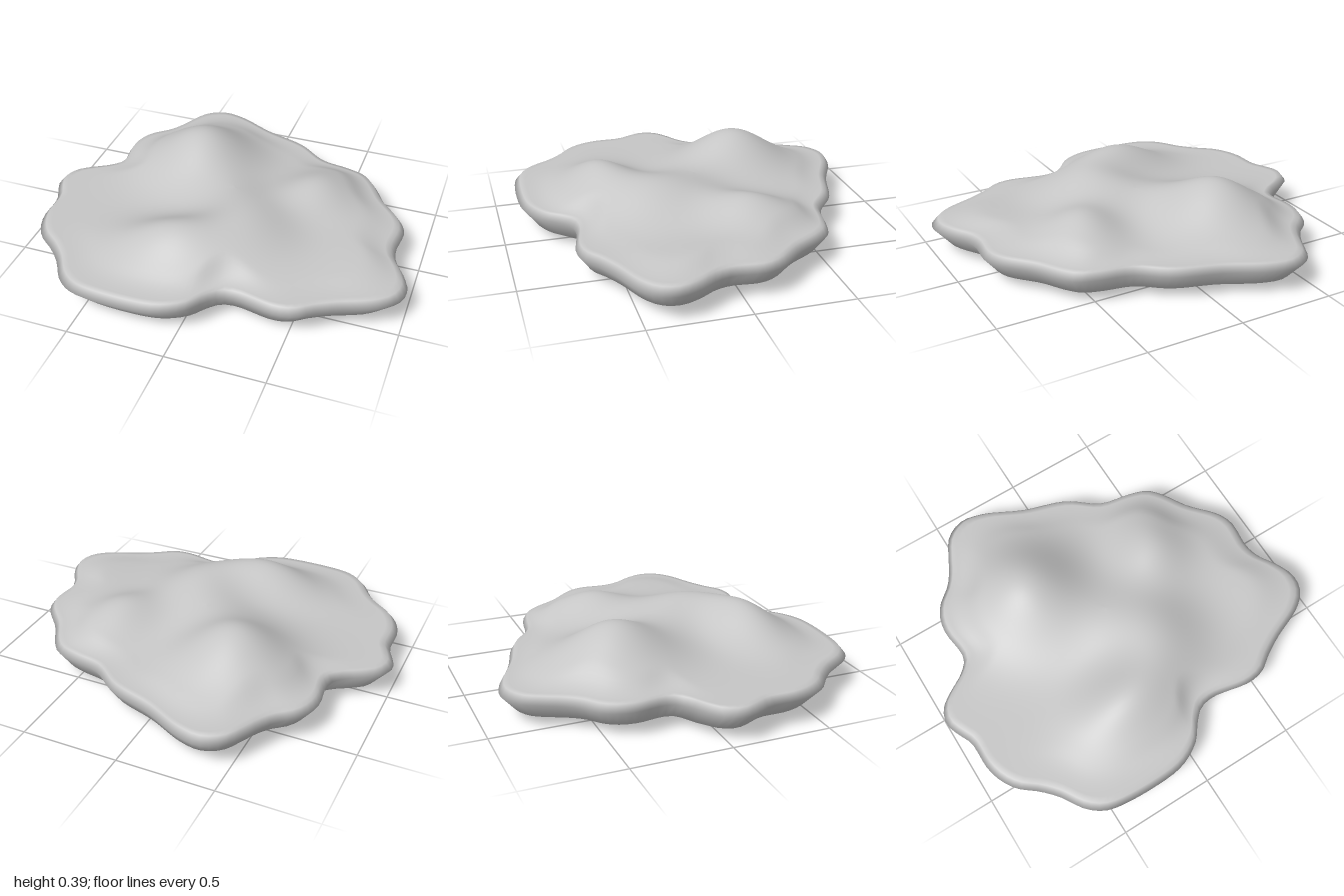
import * as THREE from 'three';

// Plan outline of the slab at its widest level, as x, z pairs
const OUTLINE = [
  -0.38, -0.9, -0.26, -0.88, -0.05, -0.78, 0.18, -0.7, 0.34, -0.585, 0.5, -0.55, 0.6, -0.515,
  0.66, -0.45, 0.74, -0.32, 0.86, -0.18, 0.89, -0.1, 0.88, 0.06, 0.9, 0.14, 0.96, 0.24,
  0.995, 0.34, 0.975, 0.43, 0.9, 0.5, 0.72, 0.58, 0.62, 0.635, 0.54, 0.69, 0.45, 0.705,
  0.24, 0.67, 0.16, 0.685, 0.1, 0.74, 0.04, 0.815, -0.05, 0.87, -0.14, 0.895, -0.42, 0.895,
  -0.54, 0.87, -0.62, 0.81, -0.7, 0.69, -0.77, 0.615, -0.86, 0.54, -0.91, 0.46, -0.935, 0.37,
  -0.94, 0.22, -0.98, 0.13, -1, 0.06, -0.97, -0.02, -0.9, -0.075, -0.81, -0.13, -0.755, -0.19,
  -0.75, -0.25, -0.765, -0.37, -0.75, -0.46, -0.71, -0.53, -0.63, -0.6, -0.58, -0.67,
  -0.54, -0.75, -0.48, -0.85,
];

// Mounds on top: x, z, height, spread in x, spread in z
const MOUNDS = [
  [-0.29, -0.31, 0.215, 0.2, 0.2],
  [-0.16, 0.48, 0.15, 0.2, 0.14],
  [0.15, 0.27, 0.12, 0.18, 0.18],
  [0.4, -0.16, 0.105, 0.14, 0.14],
  [0.46, -0.36, 0.04, 0.15, 0.13],
  [0.02, 0.03, 0.065, 0.25, 0.16],
  [0.76, 0.18, 0.035, 0.18, 0.24],
];

const RIM = 0.175;
const SEGMENTS = 144;

function topHeight(x, z, scale) {
  let h = 0;
  for (const [mx, mz, height, sx, sz] of MOUNDS) {
    const u = (x - mx) / sx, v = (z - mz) / sz;
    h += height * Math.exp(-(u * u + v * v) / 2);
  }
  return RIM + h * (1 - THREE.MathUtils.smoothstep(scale, 0.75, 0.98));
}

// Joins scaled copies of the outline; each ring is [scale, height or height function]
function ringSurface(plan, rings) {
  const positions = [], index = [], n = plan.length;
  for (const [scale, y] of rings) {
    for (const p of plan) {
      const x = p.x * scale, z = p.z * scale;
      positions.push(x, typeof y === 'function' ? y(x, z, scale) : y, z);
    }
  }
  for (let r = 0; r < rings.length - 1; r++) {
    for (let i = 0; i < n; i++) {
      const j = (i + 1) % n;
      const a = r * n + i, b = r * n + j, c = a + n, d = b + n;
      if (rings[r][0] > 0) index.push(b, a, c);
      if (rings[r + 1][0] > 0) index.push(b, c, d);
    }
  }
  const geometry = new THREE.BufferGeometry();
  geometry.setAttribute('position', new THREE.Float32BufferAttribute(positions, 3));
  geometry.setIndex(index);
  geometry.computeVertexNormals();
  return geometry;
}

export function createModel() {
  const group = new THREE.Group();
  group.name = 'rockSlab';
  const stone = new THREE.MeshStandardMaterial({ color: 0xc6c6c6 });
  stone.name = 'grey stone';

  const points = [];
  for (let i = 0; i < OUTLINE.length; i += 2) {
    points.push(new THREE.Vector3(OUTLINE[i], 0, OUTLINE[i + 1]));
  }
  const plan = new THREE.CatmullRomCurve3(points, true).getSpacedPoints(SEGMENTS).slice(0, SEGMENTS);

  // Undercut sides, bevelled rim and mounded top in one smooth skin
  const rings = [[0.78, 0], [0.92, 0.05], [1, 0.138], [0.968, RIM]];
  for (let k = 29; k >= 0; k--) rings.push([(k / 30) * 0.968, topHeight]);
  const body = new THREE.Mesh(ringSurface(plan, rings), stone);
  body.name = 'rockBody';

  // Flat underside, separate so its edge stays sharp
  const base = new THREE.Mesh(ringSurface(plan, [[0, 0], [0.78, 0]]), stone);
  base.name = 'flatBase';

  group.add(body, base);
  return group;
}
